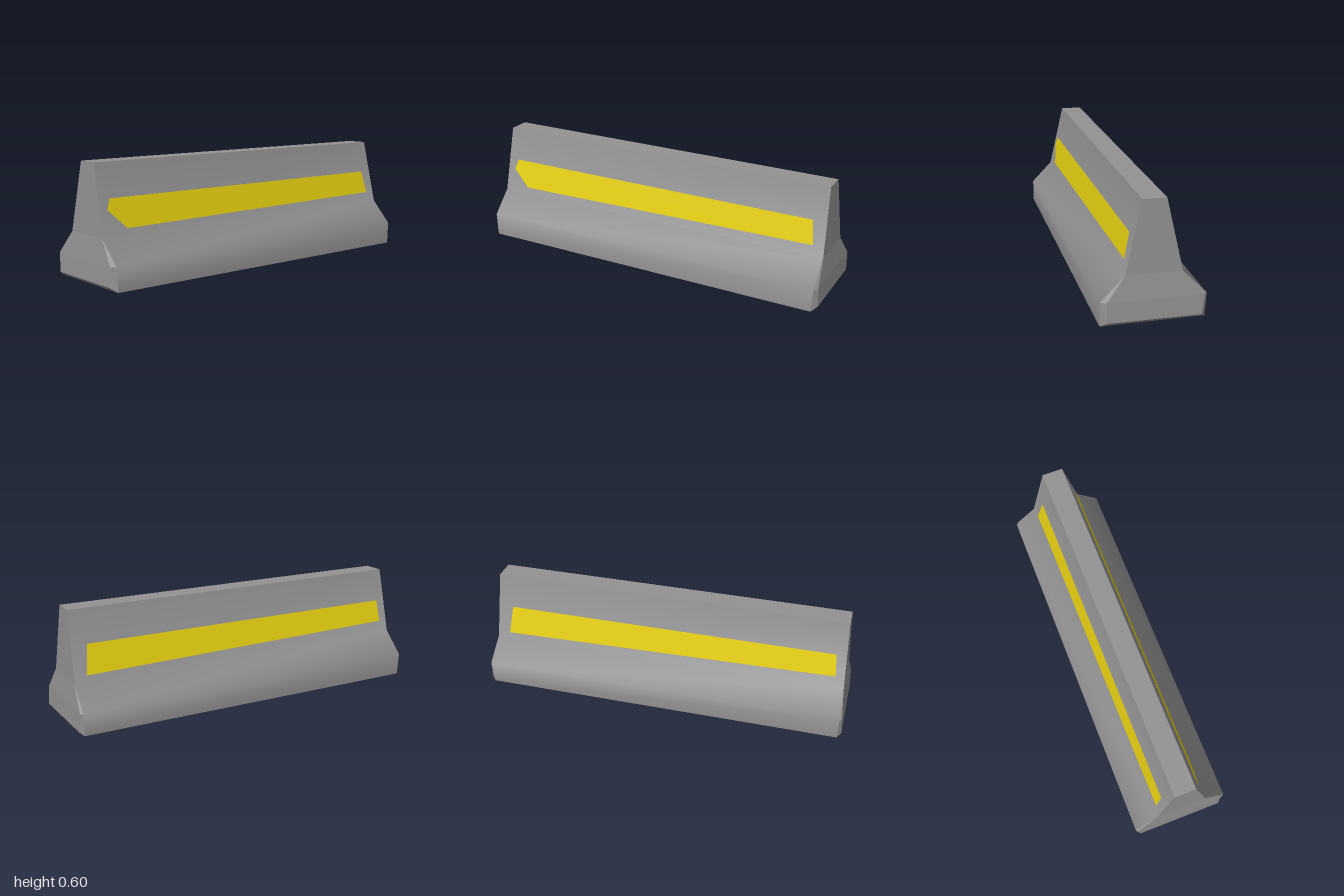
import * as THREE from 'three';
import { toCreasedNormals } from 'three/addons/utils/BufferGeometryUtils.js';

const concrete = new THREE.MeshStandardMaterial({ color: 0x929292 });
concrete.name = 'concrete grey';
const paint = new THREE.MeshStandardMaterial({ color: 0xf4dc12, side: THREE.DoubleSide });
paint.name = 'stripe yellow';

// Long-edge profile, counterclockwise from the lower +x corner: x, y, |z| of the end
const RIM = [
  [0.257, 0.002, 0.972], [0.257, 0.125, 0.978], [0.138, 0.247, 0.98], [0.058, 0.605, 0.968],
  [-0.058, 0.605, 0.968], [-0.138, 0.247, 0.98], [-0.257, 0.125, 0.983], [-0.25, 0.007, 0.978],
];
// End face: the four lower corners are drawn in to form the chipped bevel
const FACE = RIM.map((p) => [...p]);
FACE[0] = [0.228, 0.025, 1];
FACE[1] = [0.228, 0.125, 0.995];
FACE[6] = [-0.243, 0.125, 0.995];
FACE[7] = [-0.231, 0.025, 1];

const at = (ring, i, s) => [ring[i][0], ring[i][1], s * ring[i][2]];

function quad(out, a, b, c, d) {
  for (const [p, q, r] of [[a, b, c], [a, c, d]]) {
    const same = (u, v) => u.every((n, k) => n === v[k]);
    if (!same(p, q) && !same(q, r) && !same(p, r)) out.push(...p, ...q, ...r);
  }
}

function toGeometry(points) {
  const g = new THREE.BufferGeometry();
  g.setAttribute('position', new THREE.Float32BufferAttribute(points, 3));
  g.computeVertexNormals();
  return g;
}

function addMesh(group, name, geometry, material) {
  const mesh = new THREE.Mesh(geometry, material);
  mesh.name = name;
  group.add(mesh);
}

// Long faces running from end to end, softly shaded across the slopes
function bodyGeometry() {
  const out = [];
  for (let i = 0; i < 8; i++) {
    const j = (i + 1) % 8;
    quad(out, at(RIM, i, 1), at(RIM, i, -1), at(RIM, j, -1), at(RIM, j, 1));
  }
  return toCreasedNormals(toGeometry(out), 0.87);
}

// End wall with its bevel; s is the sign of z
function endGeometry(s) {
  const out = [];
  const add = (...corners) => quad(out, ...(s > 0 ? corners : corners.reverse()));
  for (const [a, b, c, d] of [[0, 1, 6, 7], [1, 2, 5, 6], [2, 3, 4, 5]]) {
    add(at(FACE, a, s), at(FACE, b, s), at(FACE, c, s), at(FACE, d, s));
  }
  for (let i = 0; i < 8; i++) {
    const j = (i + 1) % 8;
    add(at(RIM, i, s), at(RIM, j, s), at(FACE, j, s), at(FACE, i, s));
  }
  return toGeometry(out);
}

// Painted face lying on the upper slope; outline is in (z, y)
function stripeGeometry(side, outline) {
  const shape = new THREE.Shape(outline.map(([z, y]) => new THREE.Vector2(-side * z, y)));
  const g = new THREE.ShapeGeometry(shape);
  const p = g.attributes.position;
  for (let i = 0; i < p.count; i++) {
    const z = -side * p.getX(i), y = p.getY(i);
    const x = 0.058 + 0.08 * (0.605 - y) / 0.358 + 0.003;
    p.setXYZ(i, side * x, y, z);
  }
  g.computeVertexNormals();
  return g;
}

export function createModel() {
  const model = new THREE.Group();
  model.name = 'roadBarrier';
  addMesh(model, 'barrierBody', bodyGeometry(), concrete);
  addMesh(model, 'frontEnd', endGeometry(1), concrete);
  addMesh(model, 'backEnd', endGeometry(-1), concrete);
  addMesh(model, 'leftStripe', stripeGeometry(1,
    [[0.91, 0.43], [0.93, 0.375], [0.83, 0.28], [-0.92, 0.305], [-0.9, 0.43]]), paint);
  addMesh(model, 'rightStripe', stripeGeometry(-1,
    [[0.92, 0.43], [0.93, 0.31], [-0.91, 0.277], [-0.89, 0.43]]), paint);
  return model;
}
